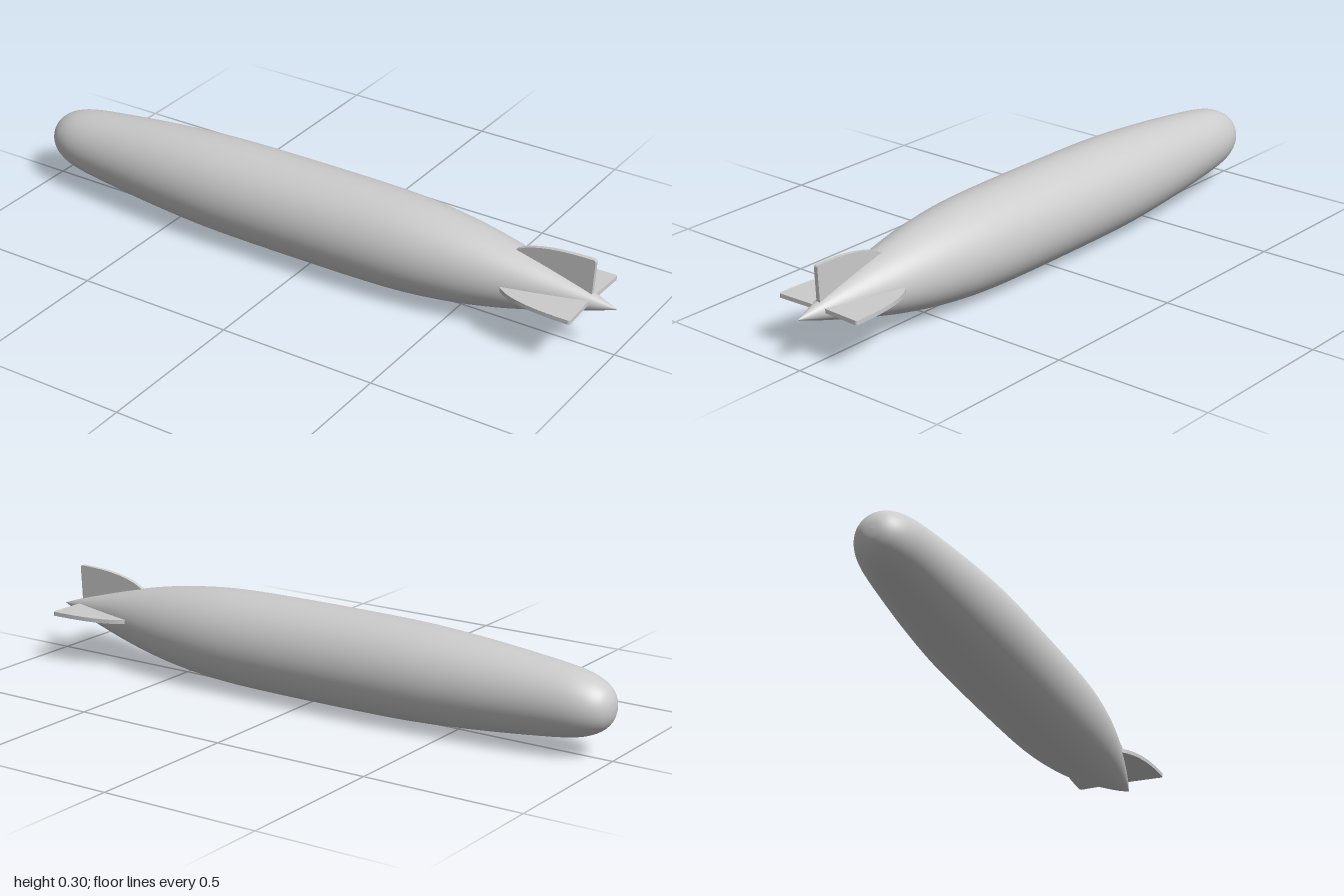
import * as THREE from 'three';

const AXIS_Y = 0.15;

export function createModel() {
  const model = new THREE.Group();
  const material = new THREE.MeshStandardMaterial({ color: 0xcccccc });

  // Hull: blunt nose at -x, pointed tail at +x, pairs of [x, radius]
  const profile = new THREE.SplineCurve([
    [-1, 0], [-0.995, 0.03], [-0.975, 0.06], [-0.935, 0.084], [-0.87, 0.101],
    [-0.74, 0.117], [-0.55, 0.135], [-0.35, 0.147], [-0.1, 0.15], [0.18, 0.149],
    [0.35, 0.143], [0.5, 0.127], [0.62, 0.106], [0.72, 0.083], [0.82, 0.056],
    [0.92, 0.027], [1, 0],
  ].map(([x, r]) => new THREE.Vector2(r, x)));
  const points = profile.getPoints(96);
  points.forEach((p) => { p.x = Math.max(p.x, 0); });
  const hullGeometry = new THREE.LatheGeometry(points, 64);
  hullGeometry.rotateZ(-Math.PI / 2);
  const hull = new THREE.Mesh(hullGeometry, material);
  hull.name = 'hull';
  hull.position.y = AXIS_Y;
  model.add(hull);

  // Tail fin: flat plate with a curved leading edge, rooted inside the hull
  function addFin(name, height, angle, y) {
    const thickness = 0.013;
    const shape = new THREE.Shape();
    shape.moveTo(0.92, 0.022);
    shape.lineTo(0.925, height - 0.008);
    shape.quadraticCurveTo(0.925, height, 0.917, height);
    shape.lineTo(0.87, height - 0.001);
    shape.bezierCurveTo(0.77, height - 0.004, 0.7, height - 0.022, 0.67, 0.09);
    shape.closePath();
    const geometry = new THREE.ExtrudeGeometry(shape, {
      depth: thickness, bevelEnabled: false, curveSegments: 12,
    });
    geometry.translate(0, 0, -thickness / 2);
    const fin = new THREE.Mesh(geometry, material);
    fin.name = name;
    fin.rotation.x = angle;
    fin.position.y = y;
    model.add(fin);
  }
  addFin('upperFin', 0.137, 0, AXIS_Y);
  addFin('frontFin', 0.148, Math.PI / 2, AXIS_Y + 0.007);
  addFin('backFin', 0.148, -Math.PI / 2, AXIS_Y + 0.007);

  return model;
}
